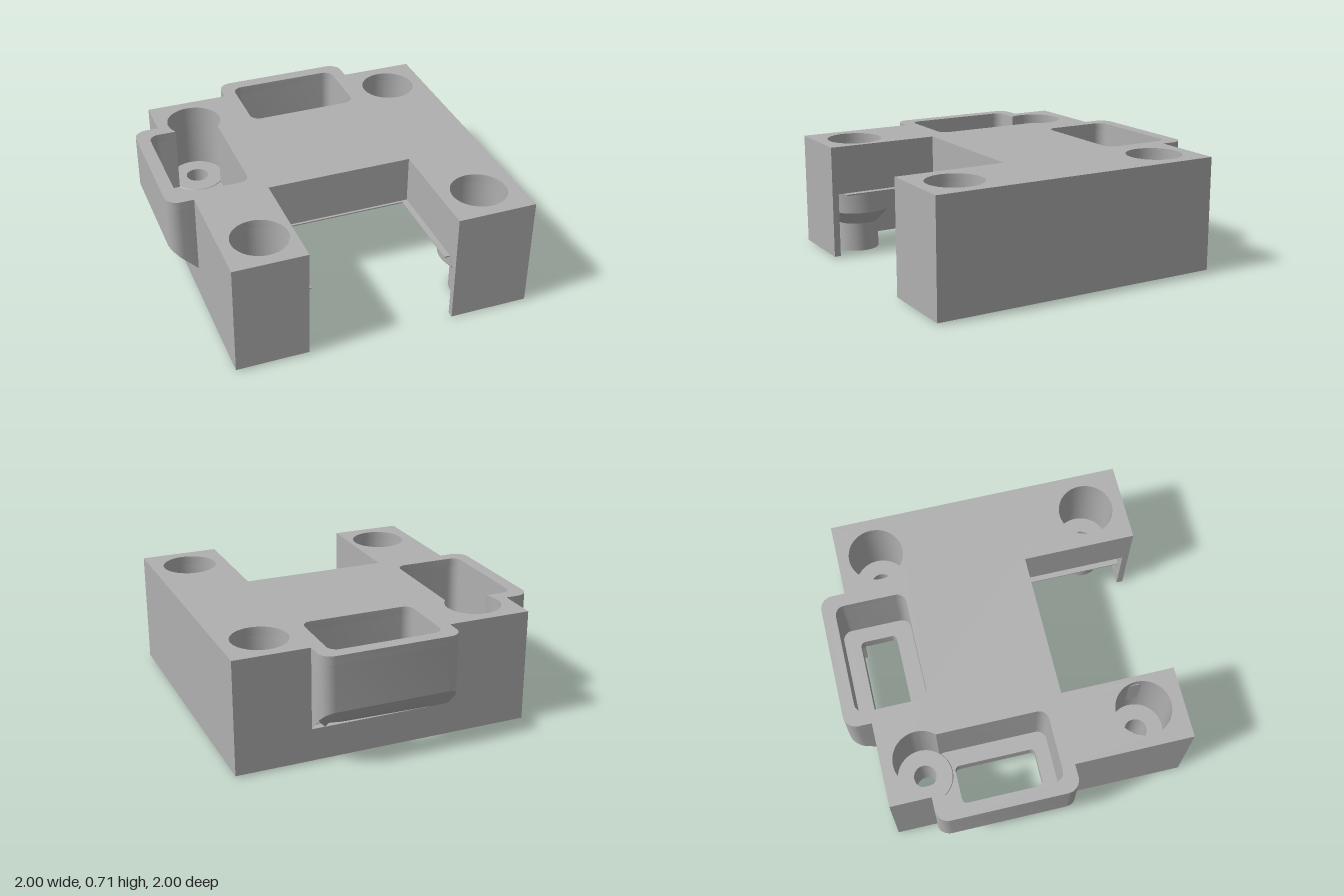
import * as THREE from 'three';
import { toCreasedNormals } from 'three/addons/utils/BufferGeometryUtils.js';

const P = (list) => list.map(([x, z]) => new THREE.Vector2(x, z));

// Points of a circular arc in plan (x, z)
function arc(cx, cz, r, a0, a1, n = 8) {
  return Array.from({ length: n + 1 }, (_, i) => {
    const a = a0 + (a1 - a0) * i / n;
    return new THREE.Vector2(cx + r * Math.cos(a), cz + r * Math.sin(a));
  });
}

// Four corner arcs of a rounded rectangle: (+x+z), (-x+z), (-x-z), (+x-z)
function corners(x0, z0, x1, z1, r) {
  const q = Math.PI / 2;
  return [[x1 - r, z1 - r], [x0 + r, z1 - r], [x0 + r, z0 + r], [x1 - r, z0 + r]]
    .map(([x, z], i) => arc(x, z, r, i * q, (i + 1) * q));
}

// Add outline points where it crosses the body wall plane
function split(points, axis, v) {
  return points.flatMap((a, i) => {
    const b = points[(i + 1) % points.length];
    const da = a[axis] - v, db = b[axis] - v;
    return da * db < -1e-8 ? [a, a.clone().lerp(b, da / (da - db))] : [a];
  });
}

// Vertical prism from a plan outline between two heights
function prism(points, holes, y0, y1) {
  const shape = new THREE.Shape(points);
  shape.holes = holes.map((h) => new THREE.Path(h));
  return new THREE.ExtrudeGeometry(shape, { depth: y1 - y0, bevelEnabled: false })
    .rotateX(Math.PI / 2).translate(0, y1, 0);
}

export function createModel() {
  const group = new THREE.Group();
  const grey = new THREE.MeshStandardMaterial({ color: 0xb0b0b0 });
  grey.name = 'plain grey';
  const add = (name, geo) => {
    const mesh = new THREE.Mesh(toCreasedNormals(geo, 0.6), grey);
    mesh.name = name;
    group.add(mesh);
    return mesh;
  };

  const TOP = 0.71, CEIL = 0.66, BASE = 0.01, LOW = 0.21, SKIRT = 0.41, W = 0.04;
  const bore = 0.17;
  const outL = corners(-1, -0.59, -0.395, 0.27, 0.08);
  const inL = corners(-0.92, -0.51, -0.475, 0.19, 0.06);
  const outB = corners(-0.32, -1, 0.54, -0.4, 0.08);
  const inB = corners(-0.24, -0.92, 0.46, -0.48, 0.06);
  const winL = corners(-0.82, -0.41, -0.58, 0.1, 0.03).flat();
  const winB = corners(-0.145, -0.82, 0.365, -0.585, 0.03).flat();
  const posts = [[-0.6, 0.755], [0.755, 0.755], [0.755, -0.6]];

  // Top plate, with the side pocket merged into its neighbouring screw bore
  const plate = [
    ...P([[-0.395, 1], [-0.84, 1], [-0.84, 0.27]]), ...outL[1], ...outL[2],
    ...P([[-0.84, -0.59], [-0.84, -0.84], [-0.32, -0.84]]), ...outB[2], ...outB[3],
    ...P([[0.54, -0.84], [1, -0.84], [1, 1], [0.51, 1], [0.51, 0.3], [-0.395, 0.3]]),
  ];
  const merged = [...inL[0], ...inL[1], ...inL[2], ...arc(-0.6, -0.6, bore, 2.583, 7.027, 36)];
  add('topPlate', prism(plate,
    [merged, inB.flat(), ...posts.map(([x, z]) => arc(x, z, bore, 0, Math.PI * 2, 40).slice(0, -1))],
    CEIL, TOP));

  // Lower wall loop, recessed beside the two windows
  const xi = -0.84 + W, zi = -0.84 + W, e = 1 - W;
  add('lowerWall', prism(P([
    [-0.395, 1], [-0.84, 1], [-0.84, -0.84], [1, -0.84], [1, 1], [0.51, 1], [0.51, e], [e, e],
    [e, zi], [0.365, zi], [0.365, -0.82], [-0.145, -0.82], [-0.145, zi], [xi, zi],
    [xi, -0.41], [-0.82, -0.41], [-0.82, 0.1], [xi, 0.1], [xi, e], [-0.395, e],
  ]), [], BASE, LOW));

  // Upper walls, broken where the pockets bulge out
  add('leftFrontWall', prism(P([[-0.395, 1], [-0.84, 1], [-0.84, 0.27], [xi, 0.27], [xi, e],
    [-0.395, e]]), [], LOW, CEIL));
  add('backCornerWall', prism(P([[-0.84, -0.59], [-0.84, -0.84], [-0.32, -0.84], [-0.32, zi],
    [xi, zi], [xi, -0.59]]), [], LOW, CEIL));
  add('rightWall', prism(P([[0.54, -0.84], [1, -0.84], [1, 1], [0.51, 1], [0.51, e], [e, e],
    [e, zi], [0.54, zi]]), [], LOW, CEIL));

  // Skirt hanging round the front notch, with its thin ledges
  add('notchSkirt', prism(P([[-0.395, e], [-0.395, 0.3], [0.51, 0.3], [0.51, e], [0.51 + W, e],
    [0.51 + W, 0.3 - W], [-0.395 - W, 0.3 - W], [-0.395 - W, e]]), [], SKIRT, CEIL));
  add('notchLedge', prism(P([[-0.395, 0.92], [-0.395, 0.3], [0.51, 0.3], [0.51, 0.92],
    [0.475, 0.92], [0.475, 0.315], [-0.355, 0.315], [-0.355, 0.92]]), [], SKIRT - 0.008, SKIRT));

  // Pockets: the underside slopes up outside the body wall
  function pocketPart(name, points, holes, y1, axis) {
    const geo = prism(split(points, axis, -0.84), holes.map((h) => split(h, axis, -0.84)), LOW, y1);
    const p = geo.attributes.position;
    for (let i = 0; i < p.count; i++) {
      const d = -0.84 - (axis === 'x' ? p.getX(i) : p.getZ(i));
      if (d > 0) p.setY(i, Math.max(p.getY(i), LOW + d));
    }
    geo.computeVertexNormals();
    add(name, geo);
  }
  const back = (a) => [...a].reverse();
  const sideRing = [
    ...P([[-0.77, -0.59]]), ...back(outL[2]), ...back(outL[1]), ...back(outL[0]),
    ...P([[-0.395, -0.59]]), ...arc(-0.6, -0.6, bore, 0.06, 0.744),
    ...inL[0], ...inL[1], ...inL[2], ...arc(-0.6, -0.6, bore, 2.583, 3.06),
  ];
  pocketPart('sidePocketWall', sideRing, [], CEIL, 'x');
  pocketPart('sidePocketFloor', inL.flat(), [winL], 0.29, 'x');
  pocketPart('backPocketWall', outB.flat(), [inB.flat()], CEIL, 'y');
  pocketPart('backPocketFloor', inB.flat(), [winB], 0.29, 'y');

  // Screw posts: counterbored sleeve, cone and narrow foot
  const lathe = (name, x, z, profile, start = 0, sweep = Math.PI * 2) =>
    add(name, new THREE.LatheGeometry(P(profile), 40, start, sweep)).position.set(x, 0, z);
  for (const [x, z] of posts) {
    lathe('screwPost', x, z, [[bore, CEIL], [bore, 0.26], [0.07, 0.26], [0.07, 0], [0.135, 0],
      [0.135, 0.18], [0.22, 0.27], [0.22, SKIRT], [0.2, SKIRT], [0.2, CEIL]]);
  }

  // Corner post, open towards the side pocket
  lathe('cornerPostFoot', -0.6, -0.6, [[0.07, 0.295], [0.07, 0], [0.165, 0], [0.165, 0.2],
    [0.19, 0.225], [0.19, 0.27], [bore, 0.295], [0.07, 0.295]]);
  lathe('cornerPostSleeve', -0.6, -0.6, [[bore, CEIL], [bore, 0.25], [0.2, 0.25], [0.2, CEIL]],
    0.9, Math.PI * 2 - 1.27 - 0.9);

  return group;
}
